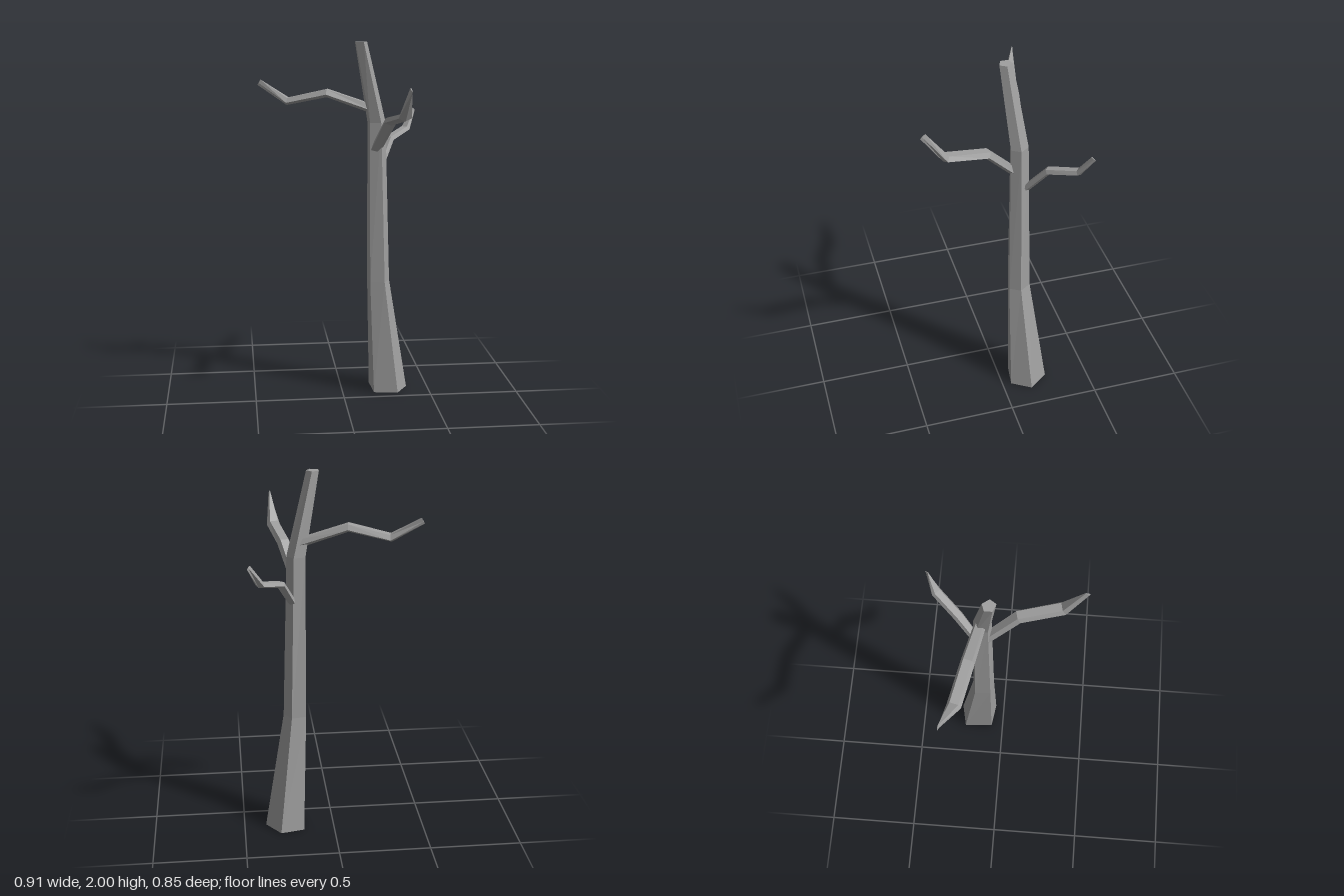
import * as THREE from 'three';

const SIDES = 5;
const material = new THREE.MeshStandardMaterial({ color: 0x9f9f9f, flatShading: true });
const v = (x, y, z) => new THREE.Vector3(x, y, z);

// Skins a list of five-sided rings and closes both ends
function loft(name, rings) {
  const positions = rings.flat().flatMap((p) => p.toArray());
  const index = [];
  const last = (rings.length - 1) * SIDES;
  for (let r = 0; r < rings.length - 1; r++) {
    for (let i = 0; i < SIDES; i++) {
      const a = r * SIDES + i, b = r * SIDES + ((i + 1) % SIDES);
      index.push(a, b, b + SIDES, a, b + SIDES, a + SIDES);
    }
  }
  for (let i = 1; i < SIDES - 1; i++) {
    index.push(0, i + 1, i);
    index.push(last, last + i, last + i + 1);
  }
  const indexed = new THREE.BufferGeometry();
  indexed.setAttribute('position', new THREE.Float32BufferAttribute(positions, 3));
  indexed.setIndex(index);
  const geometry = indexed.toNonIndexed();
  geometry.computeVertexNormals();
  const mesh = new THREE.Mesh(geometry, material);
  mesh.name = name;
  return mesh;
}

// Bent limb: flattened pentagons with the ridge below, mitred at the joints,
// pinched to an upright edge at the tip
function branch(name, points, halfWidths, halfHeights) {
  const end = points.length - 1;
  const side = points[end].clone().sub(points[0]).setY(0).normalize().cross(v(0, 1, 0));
  const rings = points.map((p, i) => {
    const tangent = v(0, 0, 0);
    if (i > 0) tangent.add(p.clone().sub(points[i - 1]).normalize());
    if (i < end) tangent.add(points[i + 1].clone().sub(p).normalize());
    const up = side.clone().cross(tangent).normalize();
    return Array.from({ length: SIDES }, (_, k) => {
      const t = Math.PI + (k / SIDES) * Math.PI * 2;
      return p.clone()
        .addScaledVector(up, Math.cos(t) * halfHeights[i])
        .addScaledVector(side, Math.sin(t) * halfWidths[i]);
    });
  });
  return loft(name, rings);
}

export function createModel() {
  const group = new THREE.Group();
  group.name = 'bareTree';

  // Trunk: flared foot, slim middle, leaning crown; each ring is a height and its x, z corners
  const trunk = [
    [0, [[0.38, -0.155], [0.3, -0.262], [0.17, -0.235], [0.18, -0.07], [0.315, -0.05]]],
    [0.66, [[0.268, -0.113], [0.227, -0.175], [0.148, -0.16], [0.155, -0.07], [0.235, -0.055]]],
    [1.56, [[0.24, -0.107], [0.205, -0.156], [0.143, -0.14], [0.15, -0.075], [0.21, -0.06]]],
    [2, [[0.13, -0.06], [0.103, -0.096], [0.066, -0.082], [0.066, -0.042], [0.108, -0.026]]],
  ].map(([y, corners]) => corners.map(([x, z]) => v(x, y, z)));
  group.add(loft('trunk', trunk));

  // Three branches
  group.add(branch('rightBranch',
    [v(0.18, 1.63, -0.11), v(-0.08, 1.72, -0.153), v(-0.295, 1.672, -0.203), v(-0.448, 1.773, -0.262)],
    [0.032, 0.038, 0.039, 0.003], [0.027, 0.025, 0.023, 0.019]));
  group.add(branch('frontBranch',
    [v(0.182, 1.405, -0.095), v(0.24, 1.585, 0.075), v(0.283, 1.632, 0.3), v(0.298, 1.783, 0.41)],
    [0.033, 0.038, 0.039, 0.003], [0.025, 0.025, 0.023, 0.019]));
  group.add(branch('backBranch',
    [v(0.218, 1.322, -0.147), v(0.28, 1.449, -0.24), v(0.39, 1.491, -0.365), v(0.447, 1.598, -0.415)],
    [0.026, 0.03, 0.03, 0.003], [0.02, 0.02, 0.018, 0.015]));

  return group;
}
